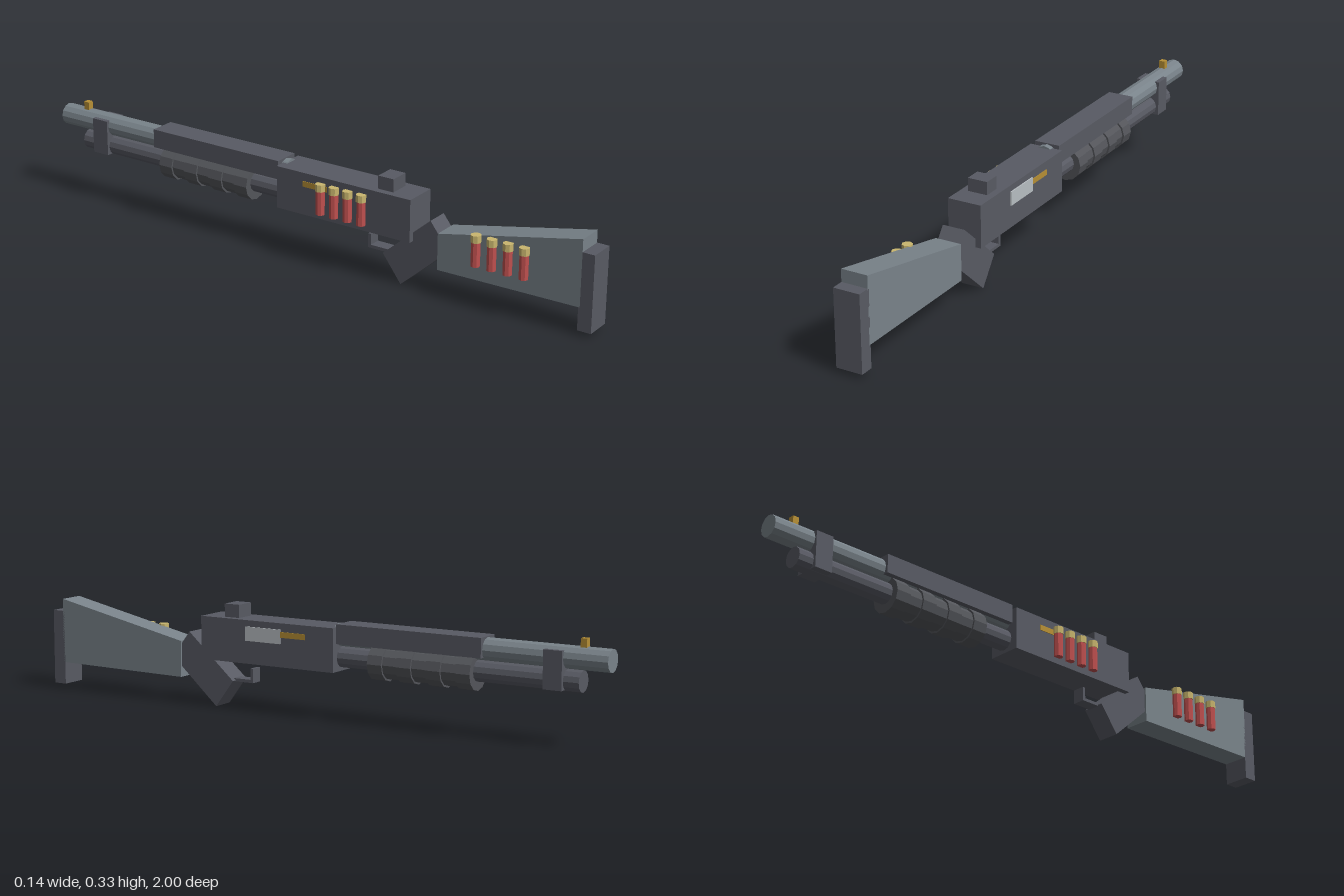
import * as THREE from 'three';

const mat = (name, color) => {
  const m = new THREE.MeshStandardMaterial({ color });
  m.name = name;
  m.flatShading = true;
  return m;
};

export function createModel() {
  const group = new THREE.Group();
  const steel = mat('lightSteel', 0x79838a);
  const dark = mat('darkSteel', 0x585a63);
  const grip = mat('pumpGrey', 0x53555a);
  const silver = mat('silver', 0xb8bec2);
  const brass = mat('brass', 0xc9b66e);
  const gold = mat('gold', 0xb68f35);
  const red = mat('shellRed', 0xc0504f);
  const CX = 0.01; // centre line of the gun

  const add = (name, geo, material, parent = group) => {
    const mesh = new THREE.Mesh(geo, material);
    mesh.name = name;
    parent.add(mesh);
    return mesh;
  };
  // Box from min and max on each axis
  const box = (name, material, x0, x1, y0, y1, z0, z1) =>
    add(name, new THREE.BoxGeometry(x1 - x0, y1 - y0, z1 - z0), material)
      .position.set((x0 + x1) / 2, (y0 + y1) / 2, (z0 + z1) / 2);
  // Cylinder along z
  const rod = (name, material, r, y, z0, z1, sides = 12) => {
    const geo = new THREE.CylinderGeometry(r, r, z1 - z0, sides);
    geo.rotateX(Math.PI / 2);
    add(name, geo, material).position.set(CX, y, (z0 + z1) / 2);
  };
  // Side profile of [z, y] points, extruded across x
  const slab = (name, material, points, halfWidth) => {
    const shape = new THREE.Shape(points.map(([z, y]) => new THREE.Vector2(-z, y)));
    const geo = new THREE.ExtrudeGeometry(shape, { depth: halfWidth * 2, bevelEnabled: false });
    geo.translate(0, 0, -halfWidth);
    geo.rotateY(Math.PI / 2);
    add(name, geo, material).position.x = CX;
  };

  // Stock, butt pad and angled grip
  slab('stock', steel, [[0.96, 0.3], [0.48, 0.2], [0.48, 0.083], [0.96, 0.088]], 0.043);
  box('buttPad', dark, -0.033, 0.053, 0.015, 0.26, 0.955, 1);
  slab('grip', dark, [[0.45, 0.232], [0.283, 0.087], [0.348, 0], [0.515, 0.148]], 0.037);

  // Trigger guard
  box('triggerGuard', dark, -0.01, 0.03, 0.084, 0.094, 0.22, 0.31);
  box('triggerGuardFront', dark, -0.01, 0.03, 0.084, 0.13, 0.218, 0.228);

  // Receiver with rear sight, port and bolt
  box('receiver', dark, -0.046, 0.066, 0.152, 0.29, -0.1, 0.39);
  box('rearSight', dark, -0.023, 0.043, 0.285, 0.332, 0.26, 0.315);
  box('ejectionPort', silver, 0.062, 0.07, 0.225, 0.27, 0.09, 0.22);
  box('bolt', gold, -0.048, 0.068, 0.245, 0.263, 0, 0.09);

  // Barrel, magazine tube, shield, clamp and front sight
  rod('barrel', steel, 0.035, 0.263, -1, -0.085);
  rod('magazineTube', dark, 0.033, 0.195, -0.91, -0.09);
  box('heatShield', dark, -0.033, 0.053, 0.24, 0.301, -0.6, -0.104);
  box('barrelClamp', dark, -0.031, 0.051, 0.168, 0.285, -0.86, -0.8);
  box('frontSight', gold, 0, 0.02, 0.295, 0.322, -0.923, -0.903);

  // Ridged pump
  rod('pump', grip, 0.05, 0.19, -0.565, -0.225);
  for (let i = 0; i < 4; i++) {
    const z = -0.27 - i * 0.1;
    rod('pumpRidge', grip, 0.056, 0.19, z, z + 0.05);
  }

  // Spare shells on the left-hand side of the receiver and the stock
  const shell = (x, y, z) => {
    const s = new THREE.Group();
    s.name = 'shell';
    s.position.set(x, y, z);
    add('shellCase', new THREE.CylinderGeometry(0.0145, 0.0145, 0.08, 8), red, s).position.y = 0.038;
    add('shellCap', new THREE.CylinderGeometry(0.0165, 0.0165, 0.023, 8), brass, s).position.y = 0.0865;
    group.add(s);
  };
  for (let i = 0; i < 4; i++) {
    shell(-0.054, 0.174, 0.07 + i * 0.05);
    shell(-0.043, 0.136, 0.617 + i * 0.054);
  }

  return group;
}
